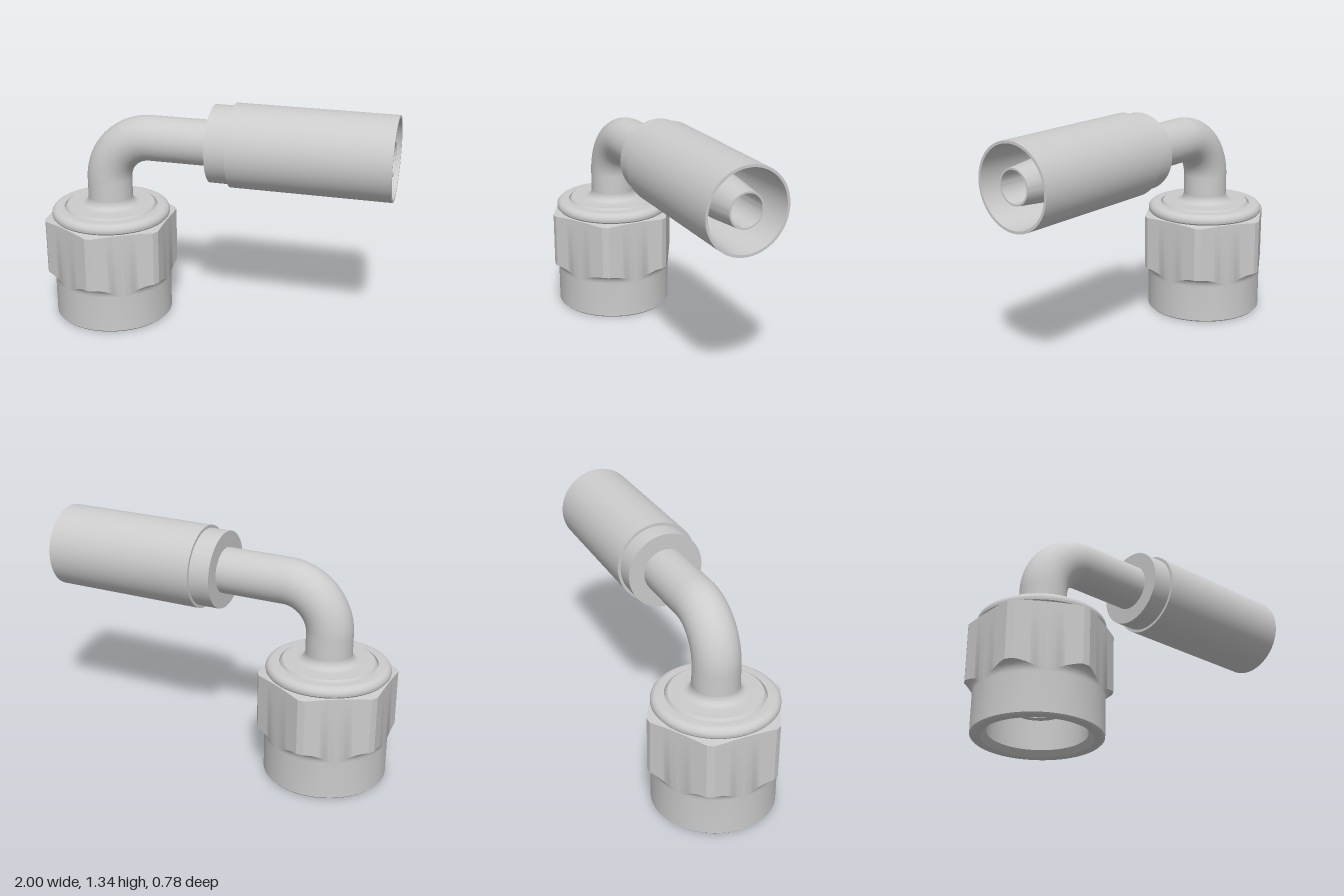
import * as THREE from 'three';
import { toCreasedNormals } from 'three/addons/utils/BufferGeometryUtils.js';

const NUT_X = -0.65;      // vertical axis of the nut and stem
const PIPE_Y = 1.1;       // horizontal axis of the pipe and ferrule
const PIPE_R = 0.13;
const BEND_R = 0.26;
const BEND_Y = PIPE_Y - BEND_R;
const BEND_X = NUT_X + BEND_R;

const material = new THREE.MeshStandardMaterial({ color: 0xcccccc });

function addMesh(parent, name, geometry, x = 0, y = 0) {
  const mesh = new THREE.Mesh(geometry, material);
  mesh.name = name;
  mesh.position.set(x, y, 0);
  parent.add(mesh);
  return mesh;
}

// Turned part from [radius, height] pairs, with sharp edges kept
function turned(profile) {
  const points = profile.map(([r, y]) => new THREE.Vector2(r, y));
  return toCreasedNormals(new THREE.LatheGeometry(points, 72), 0.5);
}

// Quarter-ellipse steps between two points of a profile
function arc(cr, cy, rr, ry, from, to, steps = 6) {
  return Array.from({ length: steps + 1 }, (_, i) => {
    const a = from + ((to - from) * i) / steps;
    return [cr + rr * Math.cos(a), cy + ry * Math.sin(a)];
  });
}

// Swivel nut: a round sleeve flaring into a hexagon, one profile per angle
function nutGeometry() {
  const columns = 120, apothem = 0.347, flareW = 0.043, flareH = 0.055;
  const sector = Math.PI / 3;
  const cornerR = apothem / Math.cos(Math.PI * 0.15);

  const profileAt = (angle) => {
    const local = angle - sector * Math.round(angle / sector);
    const hexR = Math.min(apothem / Math.cos(local), cornerR);
    const end = Math.acos(Math.max(-1, Math.min(1, 1 - (hexR - apothem) / flareW)));
    const flare = [];
    for (let i = 0; i <= 6; i++) {
      const u = (end * i) / 6;
      flare.push([apothem + flareW * (1 - Math.cos(u)), 0.225 + flareH * Math.sin(u)]);
    }
    return [
      [0.2, 0.45], [0.262, 0.45], [0.262, 0.03], [0.292, 0], [0.339, 0], [apothem, 0.008],
      ...flare,
      [hexR, 0.61 - 0.15 * (hexR - apothem)],
      [0.338, 0.612],
      ...arc(0.307, 0.632, 0.04, 0.038, -0.3, Math.PI / 2, 8),
      [0.272, 0.67], [0.27, 0.655],
    ];
  };

  const positions = [], indices = [];
  let rows = 0;
  for (let c = 0; c < columns; c++) {
    const t = (c / columns) * Math.PI * 2;
    const profile = profileAt(t);
    rows = profile.length;
    for (const [r, y] of profile) positions.push(r * Math.cos(t), y, -r * Math.sin(t));
  }
  for (let c = 0; c < columns; c++) {
    const next = (c + 1) % columns;
    for (let k = 0; k < rows - 1; k++) {
      const a = c * rows + k, b = next * rows + k;
      indices.push(a, b, a + 1, b, b + 1, a + 1);
    }
  }
  const geometry = new THREE.BufferGeometry();
  geometry.setAttribute('position', new THREE.Float32BufferAttribute(positions, 3));
  geometry.setIndex(indices);
  return toCreasedNormals(geometry, 0.45);
}

export function createModel() {
  const model = new THREE.Group();
  model.name = 'elbowHoseFitting';

  addMesh(model, 'swivelNut', nutGeometry(), NUT_X);

  // Sealing nose inside the nut
  addMesh(model, 'sealingNose', turned([
    [0, 0.5], [0.1, 0.5], [0.1, 0.15], [0.138, 0.15], [0.15, 0.165], [0.15, 0.28], [0.25, 0.45],
  ]), NUT_X);

  // Collar on top of the nut, blending into the pipe
  addMesh(model, 'stemCollar', turned([
    [0.272, 0.655], [0.262, 0.672], [0.255, 0.68],
    ...arc(0.175, 0.725, 0.045, 0.045, Math.PI * 1.5, Math.PI),
  ]), NUT_X);

  // Bent pipe
  const pipe = new THREE.Group();
  pipe.name = 'bentPipe';
  model.add(pipe);
  const riserBase = 0.7;
  const riser = new THREE.CylinderGeometry(PIPE_R, PIPE_R, BEND_Y - riserBase, 48, 1, true);
  addMesh(pipe, 'pipeRiser', riser, NUT_X, (BEND_Y + riserBase) / 2);
  const bend = new THREE.TorusGeometry(BEND_R, PIPE_R, 48, 32, Math.PI / 2).rotateZ(Math.PI / 2);
  addMesh(pipe, 'pipeBend', bend, BEND_X, BEND_Y);
  const runLength = -BEND_X;
  const run = new THREE.CylinderGeometry(PIPE_R, PIPE_R, runLength, 48, 1, true).rotateZ(Math.PI / 2);
  addMesh(pipe, 'pipeRun', run, BEND_X + runLength / 2, PIPE_Y);

  // Crimp ferrule: stepped outside, tapered bore
  addMesh(model, 'crimpFerrule', turned([
    [0.1, -0.02], [0.22, -0.02], [0.22, 0.1], [0.237, 0.1], [0.237, 1],
    [0.222, 1], [0.187, 0.15], [0.1, 0.15],
  ]).rotateZ(-Math.PI / 2), 0, PIPE_Y);

  // Hose nipple inside the ferrule
  addMesh(model, 'hoseNipple', turned([
    [0.122, 0.14], [0.122, 0.75], [0.098, 0.985], [0.088, 0.985], [0.088, 0.02], [0, 0.02],
  ]).rotateZ(-Math.PI / 2), 0, PIPE_Y);

  return model;
}
